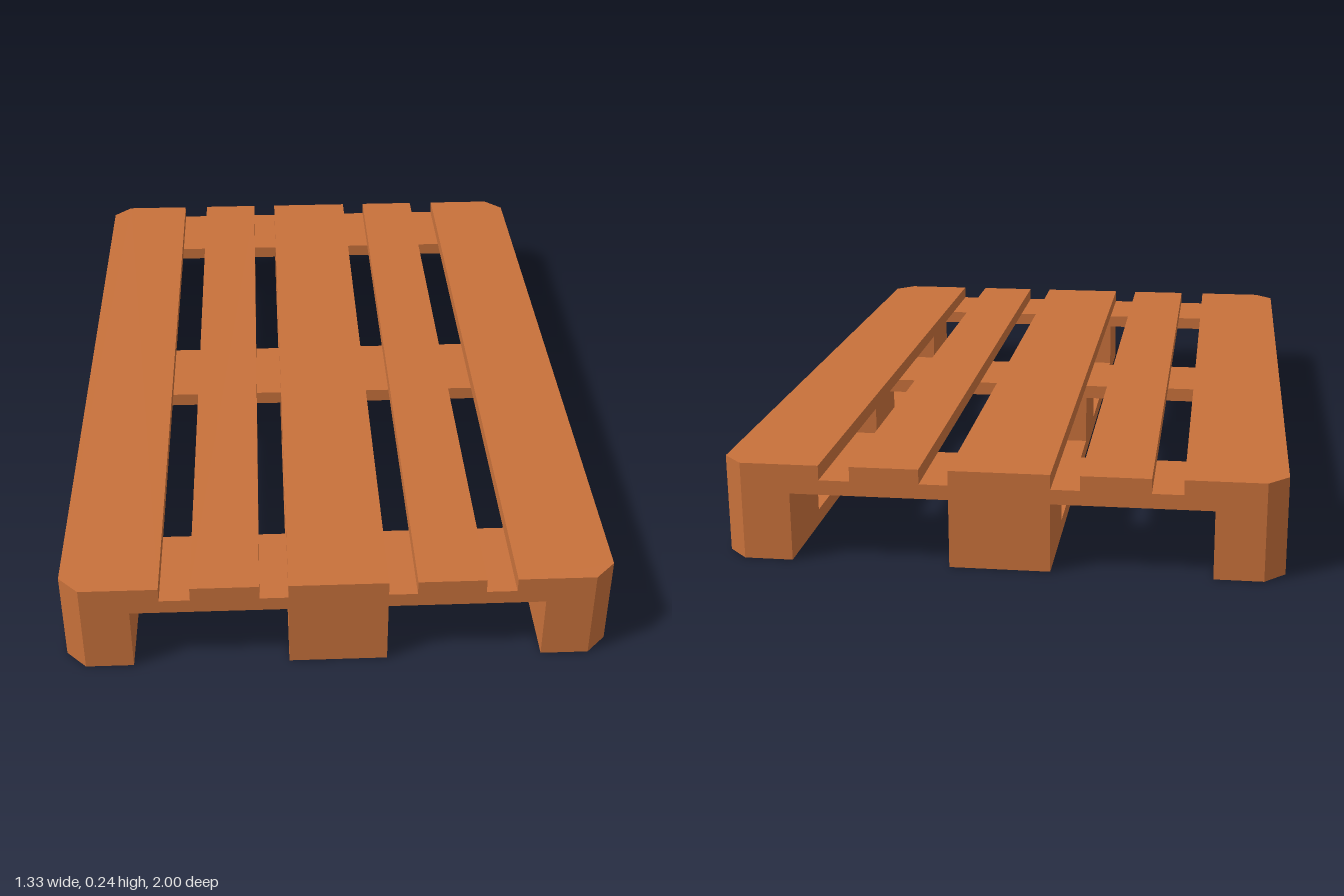
import * as THREE from 'three';

const W = 0.667, L = 1, CUT = 0.05; // half width, half length, corner chamfer
const Y = [0, 0.038, 0.168, 0.204, 0.24]; // layer heights

const wood = new THREE.MeshStandardMaterial({ color: 0xc8713b });
wood.name = 'wood';

// Plank or block given by its plan rectangle; corners on the pallet's own corners are cut off
function timber(name, [x0, x1], [z0, z1], layer) {
  const corners = [[x0, -z1], [x1, -z1], [x1, -z0], [x0, -z0]];
  const points = [];
  corners.forEach(([x, y], i) => {
    if (Math.abs(x) === W && Math.abs(y) === L) {
      const alongX = new THREE.Vector2(x - Math.sign(x) * CUT, y);
      const alongY = new THREE.Vector2(x, y - Math.sign(y) * CUT);
      points.push(...(i % 2 ? [alongX, alongY] : [alongY, alongX]));
    } else points.push(new THREE.Vector2(x, y));
  });
  const geometry = new THREE.ExtrudeGeometry(new THREE.Shape(points), {
    depth: Y[layer + 1] - Y[layer], bevelEnabled: false,
  });
  geometry.rotateX(-Math.PI / 2).translate(0, Y[layer], 0);
  const mesh = new THREE.Mesh(geometry, wood);
  mesh.name = name;
  return mesh;
}

export function createModel() {
  const pallet = new THREE.Group();
  pallet.name = 'pallet';

  const columns = { right: [-W, -0.5], middle: [-0.12, 0.12], left: [0.5, W] };
  const rows = { back: [-L, -0.76], centre: [-0.12, 0.12], front: [0.76, L] };

  // Bottom runners and the nine blocks on them
  for (const [side, xs] of Object.entries(columns)) {
    pallet.add(timber(`${side} runner`, xs, [-L, L], 0));
    for (const [row, zs] of Object.entries(rows)) {
      pallet.add(timber(`${row} ${side} block`, xs, zs, 1));
    }
  }

  // Cross boards
  for (const [row, zs] of Object.entries(rows)) {
    pallet.add(timber(`${row} cross board`, [-W, W], zs, 2));
  }

  // Deck boards
  const deck = [[-W, -0.428], [-0.354, -0.189], [-0.12, 0.12], [0.189, 0.354], [0.428, W]];
  deck.forEach((xs, i) => pallet.add(timber(`deck board ${i + 1}`, xs, [-L, L], 3)));

  return pallet;
}
